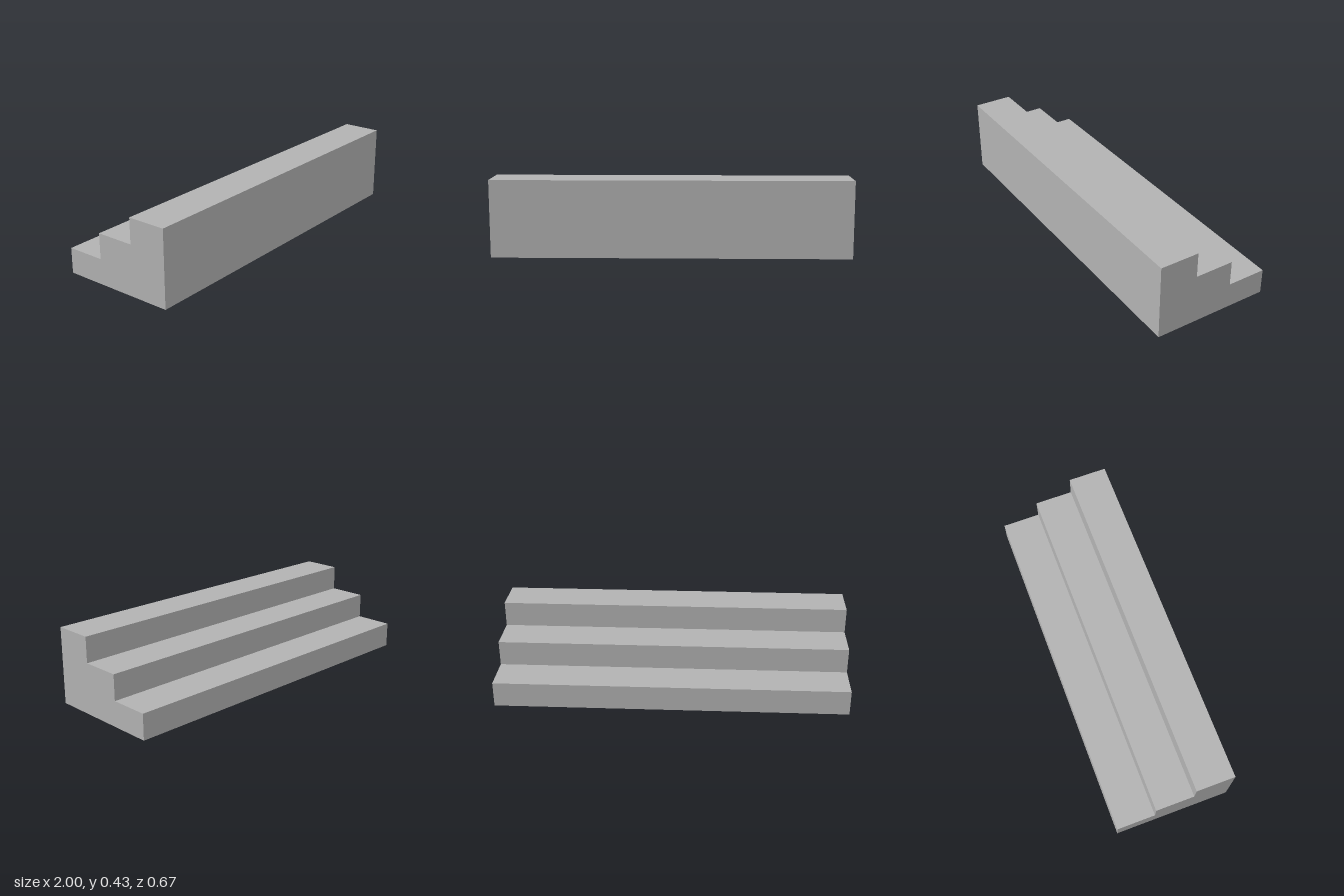
import * as THREE from 'three';

const WIDTH = 2, DEPTH = 0.667, HEIGHT = 0.434, STEPS = 3;

export function createModel() {
  const group = new THREE.Group();
  group.name = 'staircase';

  const stone = new THREE.MeshStandardMaterial({ color: 0xb2b2b2 });
  stone.name = 'grey stone';

  // Side profile: tall face at the front (+z), stepping down to the back
  const run = DEPTH / STEPS, rise = HEIGHT / STEPS;
  const profile = new THREE.Shape();
  profile.moveTo(-DEPTH / 2, 0);
  profile.lineTo(DEPTH / 2, 0);
  for (let i = 1; i <= STEPS; i++) {
    profile.lineTo(DEPTH / 2 - (i - 1) * run, i * rise);
    profile.lineTo(DEPTH / 2 - i * run, i * rise);
  }
  profile.closePath();

  // Extrude across the width; profile x becomes -z
  const geometry = new THREE.ExtrudeGeometry(profile, { depth: WIDTH, bevelEnabled: false });
  geometry.translate(0, 0, -WIDTH / 2);
  geometry.rotateY(Math.PI / 2);

  const steps = new THREE.Mesh(geometry, stone);
  steps.name = 'steps';
  group.add(steps);
  return group;
}
